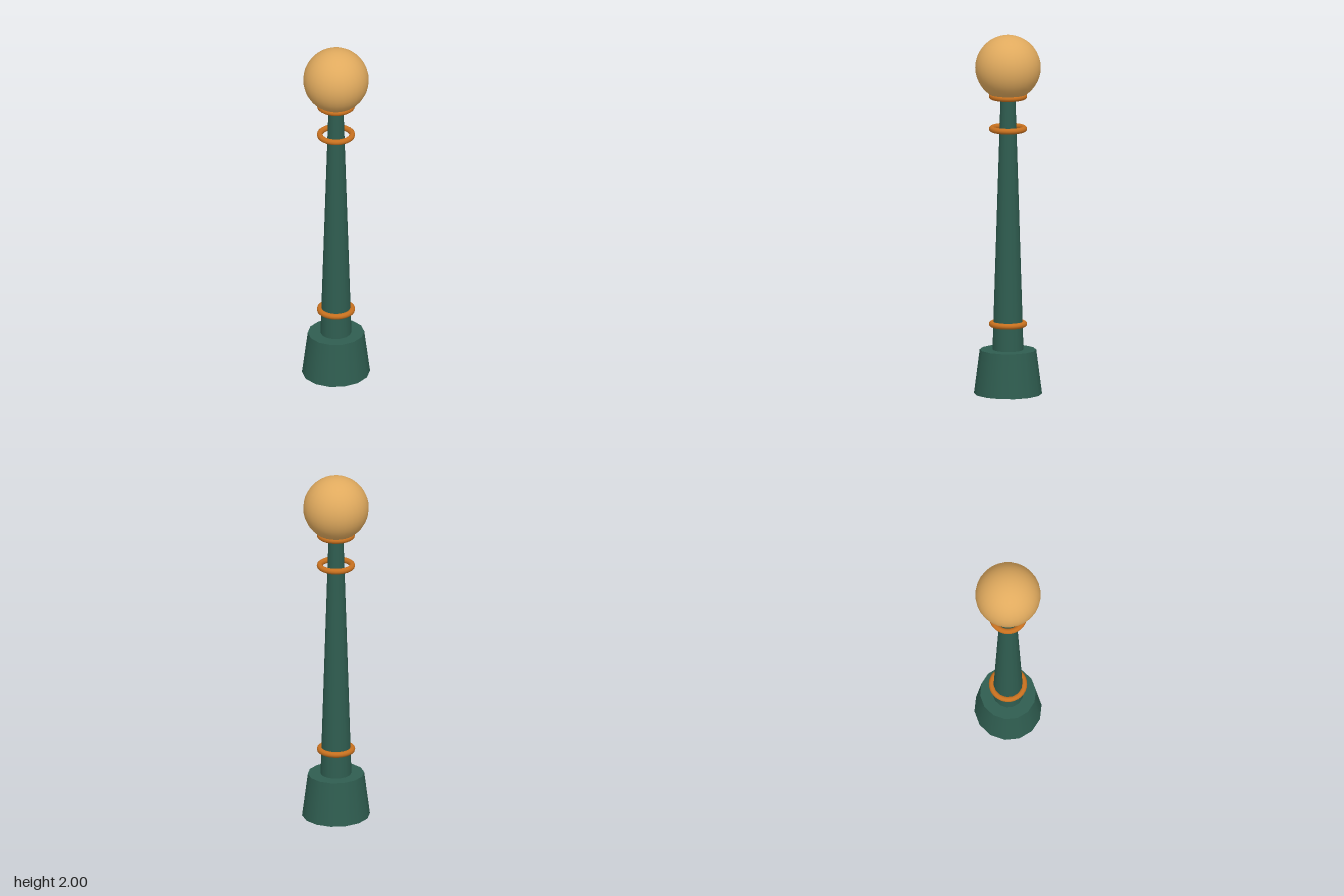
import * as THREE from 'three';

export function createModel() {
  const group = new THREE.Group();
  const mat = (name, color) => {
    const m = new THREE.MeshStandardMaterial({ color });
    m.name = name;
    return m;
  };
  const green = mat('dark green paint', 0x2f5d50);
  const amber = mat('amber glass', 0xe0aa5e);
  const copper = mat('copper', 0xc8711f);

  const add = (name, geometry, material, y) => {
    const mesh = new THREE.Mesh(geometry, material);
    mesh.name = name;
    mesh.position.y = y;
    group.add(mesh);
    return mesh;
  };

  // Tapered 14-sided foot with corners on the x axis
  const base = new THREE.CylinderGeometry(0.153, 0.184, 0.245, 14);
  base.rotateY(Math.PI / 2).scale(1, 1, 1.025);
  add('base', base, green, 0.1225);

  // Slender tapering post
  const post = new THREE.CylinderGeometry(0.041, 0.085, 1.44, 14);
  post.rotateY(Math.PI / 2).scale(1, 1, 1.02);
  add('post', post, green, 0.96);

  // Decorative rings, the highest one holding the globe
  const ring = new THREE.TorusGeometry(0.09, 0.016, 10, 32).rotateX(Math.PI / 2);
  [['lowerRing', 0.388], ['upperRing', 1.478], ['globeCollar', 1.66]]
    .forEach(([name, y]) => add(name, ring, copper, y));

  // Round lamp globe
  add('globe', new THREE.SphereGeometry(0.18, 28, 20), amber, 1.82);

  return group;
}
